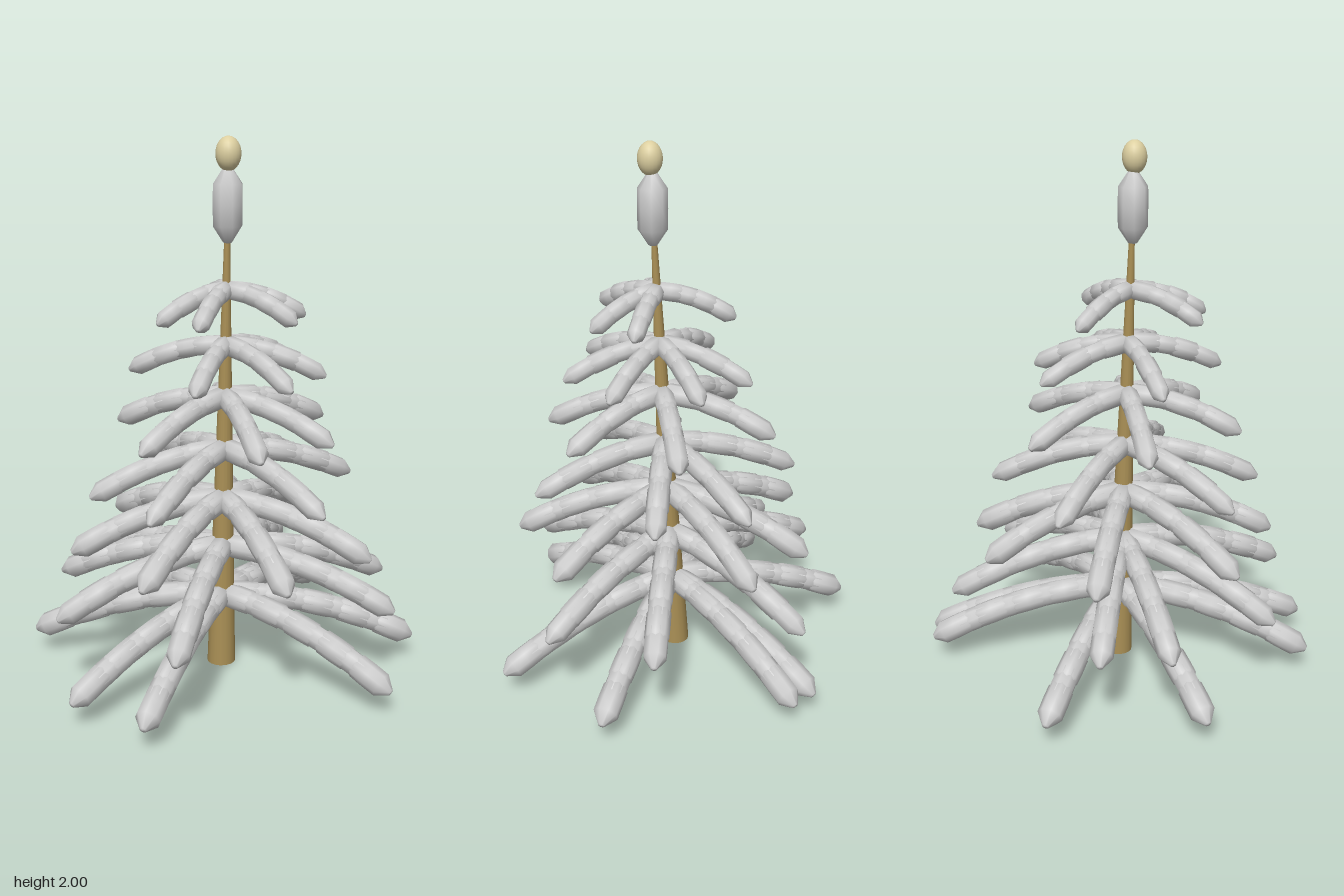
import * as THREE from 'three';

const needleMat = new THREE.MeshStandardMaterial({ color: 0xcccccc });
const barkMat = new THREE.MeshStandardMaterial({ color: 0xa98f55 });
const starMat = new THREE.MeshStandardMaterial({ color: 0xdccfa0 });

// Slightly leaning trunk axis
const axisAt = (y) => new THREE.Vector3(-0.022, y, 0.038 + 0.042 * y);
const UP = new THREE.Vector3(0, 1, 0);

// Needle clump: unit length, unit radius, blunt pointed ends
const clumpGeo = new THREE.LatheGeometry(
  [[0, -0.5], [0.3, -0.48], [0.98, -0.27], [1, 0], [0.98, 0.27], [0.25, 0.49], [0, 0.5]]
    .map(([r, y]) => new THREE.Vector2(r, y)), 8);

function clump(name, position, direction, length, radius, twist = 0) {
  const m = new THREE.Mesh(clumpGeo, needleMat);
  m.name = name;
  m.position.copy(position);
  m.quaternion.setFromUnitVectors(UP, direction)
    .multiply(new THREE.Quaternion().setFromAxisAngle(UP, twist));
  m.scale.set(radius, length, radius);
  return m;
}

// Drooping branch: overlapping clumps along a parabola
function branch(y, angleDeg, reach, drop, radius) {
  const g = new THREE.Group();
  g.name = 'branch';
  const a = THREE.MathUtils.degToRad(angleDeg);
  const out = new THREE.Vector3(Math.cos(a), 0, Math.sin(a));
  const origin = axisAt(y);
  const length = Math.min(0.2, reach * 0.45);
  const count = Math.max(4, Math.round(reach / 0.085));
  const first = length * 0.4;
  const last = reach - length * 0.43;
  for (let i = 0; i < count; i++) {
    const d = first + (last - first) * i / (count - 1);
    const t = d / reach;
    const p = origin.clone().addScaledVector(out, d);
    p.y -= drop * t * t;
    const dir = out.clone().setY(-2 * drop * t / reach).normalize();
    g.add(clump('needleClump', p, dir, length, radius * (1 - 0.06 * (i % 2)), i * 0.4));
  }
  return g;
}

// Tiers from bottom to top: height, reach, droop, thickness, branch angles
const tiers = [
  { y: 0.285, reach: 0.735, drop: 0.19, r: 0.047, angles: [16, 54.5, 129, 153, 205, 250, 312, 319.5] },
  { y: 0.485, reach: 0.66, drop: 0.18, r: 0.046, angles: [1, 37.6, 122, 172, 214, 236, 309] },
  { y: 0.675, reach: 0.572, drop: 0.165, r: 0.045, angles: [41, 86, 137, 184, 239, 291, 324] },
  { y: 0.87, reach: 0.505, drop: 0.14, r: 0.042, angles: [0, 66, 138, 180, 257, 320] },
  { y: 1.07, reach: 0.43, drop: 0.13, r: 0.04, angles: [-12, 47, 92, 150, 219, 283] },
  { y: 1.265, reach: 0.36, drop: 0.11, r: 0.037, angles: [-28, 25, 70, 125, 210, 290] },
  { y: 1.465, reach: 0.285, drop: 0.1, r: 0.035, angles: [12, 50, 128, 165, 270] },
];

export function createModel() {
  const tree = new THREE.Group();
  tree.name = 'tree';

  // Tapered trunk, leaned by shearing its vertices onto the axis
  const trunkGeo = new THREE.CylinderGeometry(0.008, 0.054, 1.75, 16);
  trunkGeo.translate(0, 0.875, 0);
  const pos = trunkGeo.attributes.position;
  for (let i = 0; i < pos.count; i++) {
    const c = axisAt(pos.getY(i));
    pos.setXYZ(i, pos.getX(i) + c.x, pos.getY(i), pos.getZ(i) + c.z);
  }
  const trunk = new THREE.Mesh(trunkGeo, barkMat);
  trunk.name = 'trunk';
  tree.add(trunk);

  tiers.forEach((t, i) => {
    const tier = new THREE.Group();
    tier.name = `branchTier${i + 1}`;
    for (const a of t.angles) tier.add(branch(t.y, a, t.reach, t.drop, t.r));
    tree.add(tier);
  });

  // Top shoot and oval ornament
  tree.add(clump('topShoot', axisAt(1.765), UP, 0.27, 0.055));
  const ornament = new THREE.Mesh(new THREE.SphereGeometry(1, 20, 14), starMat);
  ornament.name = 'topOrnament';
  ornament.position.copy(axisAt(1.94));
  ornament.scale.set(0.045, 0.06, 0.045);
  tree.add(ornament);

  return tree;
}
